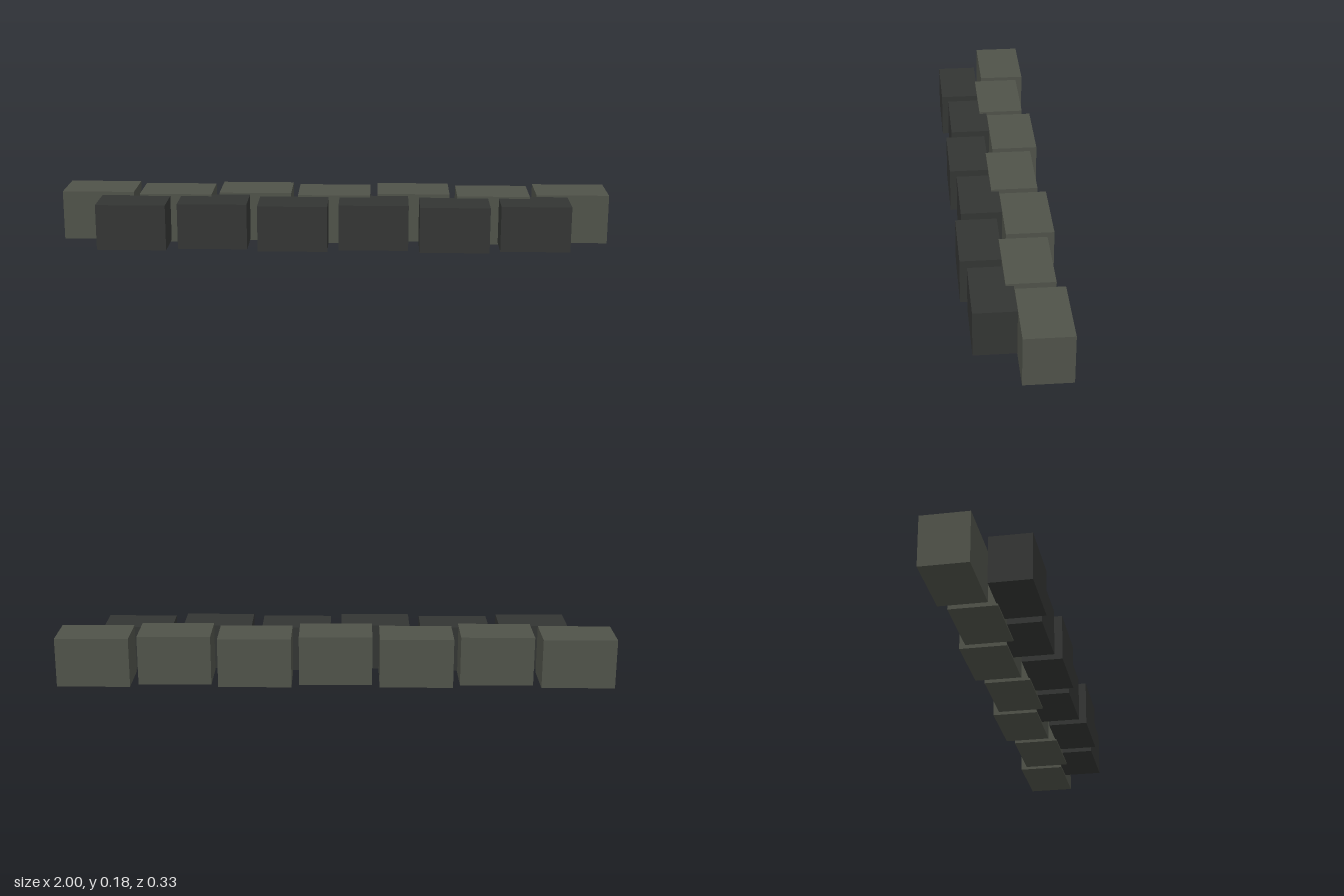
import * as THREE from 'three';

// Row of equal blocks, alternately shifted in z
function addRow(group, name, count, pitch, size, zCentres, material) {
  const geometry = new THREE.BoxGeometry(...size);
  for (let i = 0; i < count; i++) {
    const block = new THREE.Mesh(geometry, material);
    block.name = `${name}${i + 1}`;
    block.position.set((i - (count - 1) / 2) * pitch, 0.09, zCentres[i % 2]);
    group.add(block);
  }
}

export function createModel() {
  const model = new THREE.Group();
  model.name = 'staggeredBlocks';
  const pale = new THREE.MeshStandardMaterial({ color: 0x4f5249 });
  const dark = new THREE.MeshStandardMaterial({ color: 0x333533 });

  // Larger blocks at the back
  addRow(model, 'backBlock', 7, 0.2895, [0.263, 0.18, 0.166], [-0.083, -0.056], pale);
  // Smaller, darker blocks in front, bridging the gaps
  addRow(model, 'frontBlock', 6, 0.2895, [0.25, 0.166, 0.144], [0.094, 0.072], dark);
  return model;
}
